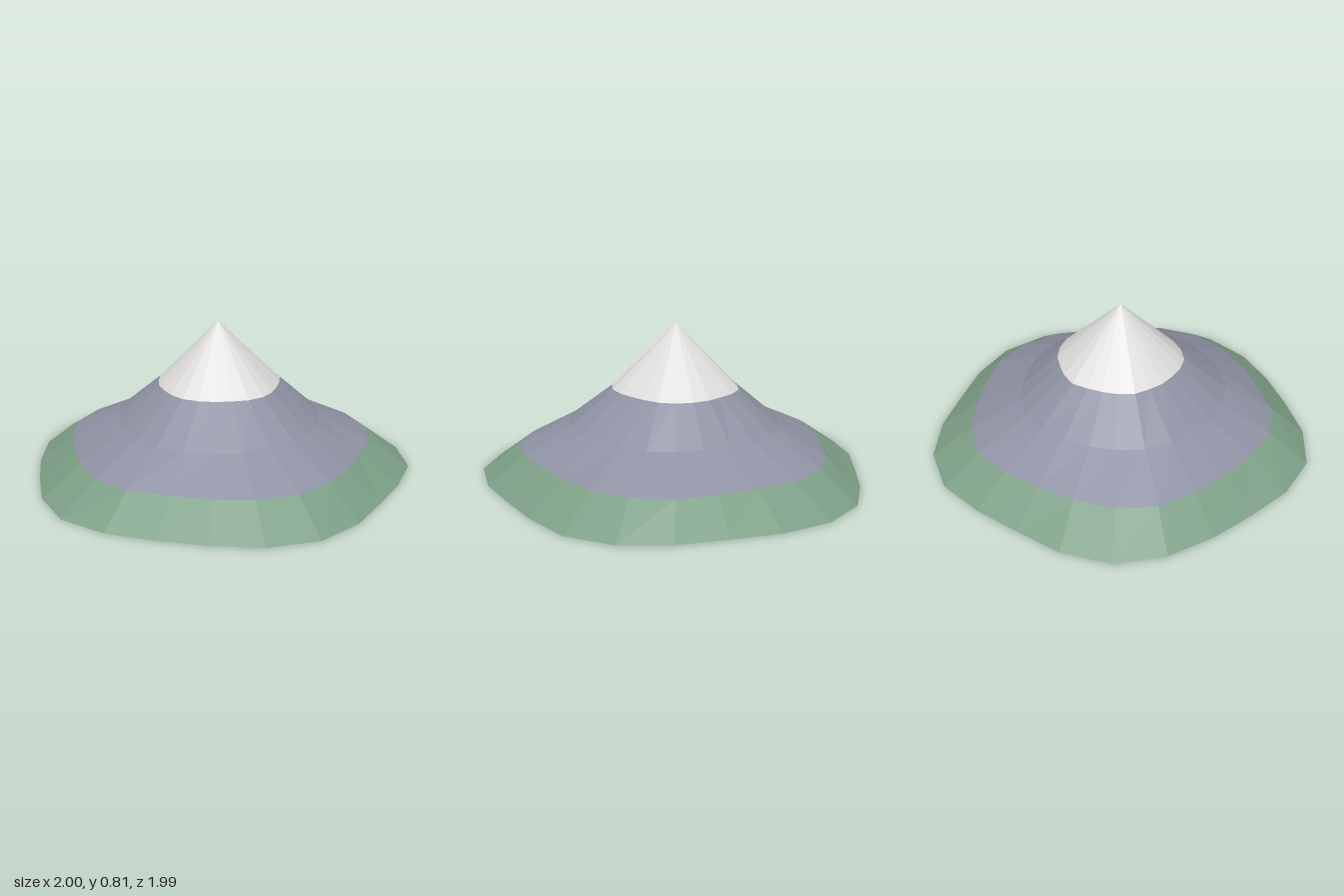
import * as THREE from 'three';

// Ring radii around the peak axis, every 15 degrees, starting at the back and turning towards +x
const half = [0.96, 0.99, 1.03, 1.03, 0.98, 0.96, 1.0, 1.035, 1.01, 0.97, 0.96, 1.0, 1.03];
const baseRing = { y: 0, r: [...half, ...half.slice(1, 12).reverse()] };
const treeLine = { y: 0.15, r: [
  0.785, 0.82, 0.83, 0.81, 0.77, 0.775, 0.81, 0.83, 0.81, 0.79, 0.78, 0.82,
  0.82, 0.79, 0.77, 0.79, 0.82, 0.815, 0.785, 0.77, 0.80, 0.83, 0.817, 0.785] };
const shoulder = { y: 0.285, r: [
  0.53, 0.545, 0.55, 0.54, 0.54, 0.55, 0.565, 0.565, 0.565, 0.56, 0.56, 0.565,
  0.555, 0.54, 0.535, 0.545, 0.545, 0.535, 0.53, 0.535, 0.55, 0.555, 0.545, 0.53] };
const snowLine = { y: 0.47, r: [
  0.34, 0.345, 0.34, 0.325, 0.32, 0.33, 0.34, 0.337, 0.325, 0.325, 0.33, 0.335,
  0.325, 0.315, 0.315, 0.315, 0.325, 0.32, 0.315, 0.32, 0.335, 0.33, 0.325, 0.335] };
const peak = { y: 0.805, r: new Array(24).fill(0) };

const SIDES = 24;
const AXIS_Z = -0.04;

function ringPoint(ring, i) {
  const k = i % SIDES;
  const a = (k / SIDES) * Math.PI * 2;
  return [ring.r[k] * Math.sin(a), ring.y, AXIS_Z - ring.r[k] * Math.cos(a)];
}

// Faceted skin between consecutive rings, listed from the bottom up
function slope(name, rings, material) {
  const pos = [];
  for (let j = 0; j < rings.length - 1; j++) {
    for (let i = 0; i < SIDES; i++) {
      const a = ringPoint(rings[j], i), b = ringPoint(rings[j], i + 1);
      const c = ringPoint(rings[j + 1], i), d = ringPoint(rings[j + 1], i + 1);
      pos.push(...b, ...a, ...c);
      if (rings[j + 1] !== peak) pos.push(...b, ...c, ...d);
    }
  }
  const geometry = new THREE.BufferGeometry();
  geometry.setAttribute('position', new THREE.Float32BufferAttribute(pos, 3));
  geometry.computeVertexNormals();
  const mesh = new THREE.Mesh(geometry, material);
  mesh.name = name;
  return mesh;
}

function flat(name, color) {
  return new THREE.MeshStandardMaterial({ name, color, flatShading: true, side: THREE.DoubleSide });
}

export function createModel() {
  const group = new THREE.Group();
  group.name = 'mountain';
  group.add(
    slope('grassyFoot', [baseRing, treeLine], flat('grass green', 0x7d9f86)),
    slope('rockySlope', [treeLine, shoulder, snowLine], flat('rock grey', 0x8f92a3)),
    slope('snowCap', [snowLine, peak], flat('snow white', 0xe0dedc)),
  );
  return group;
}
